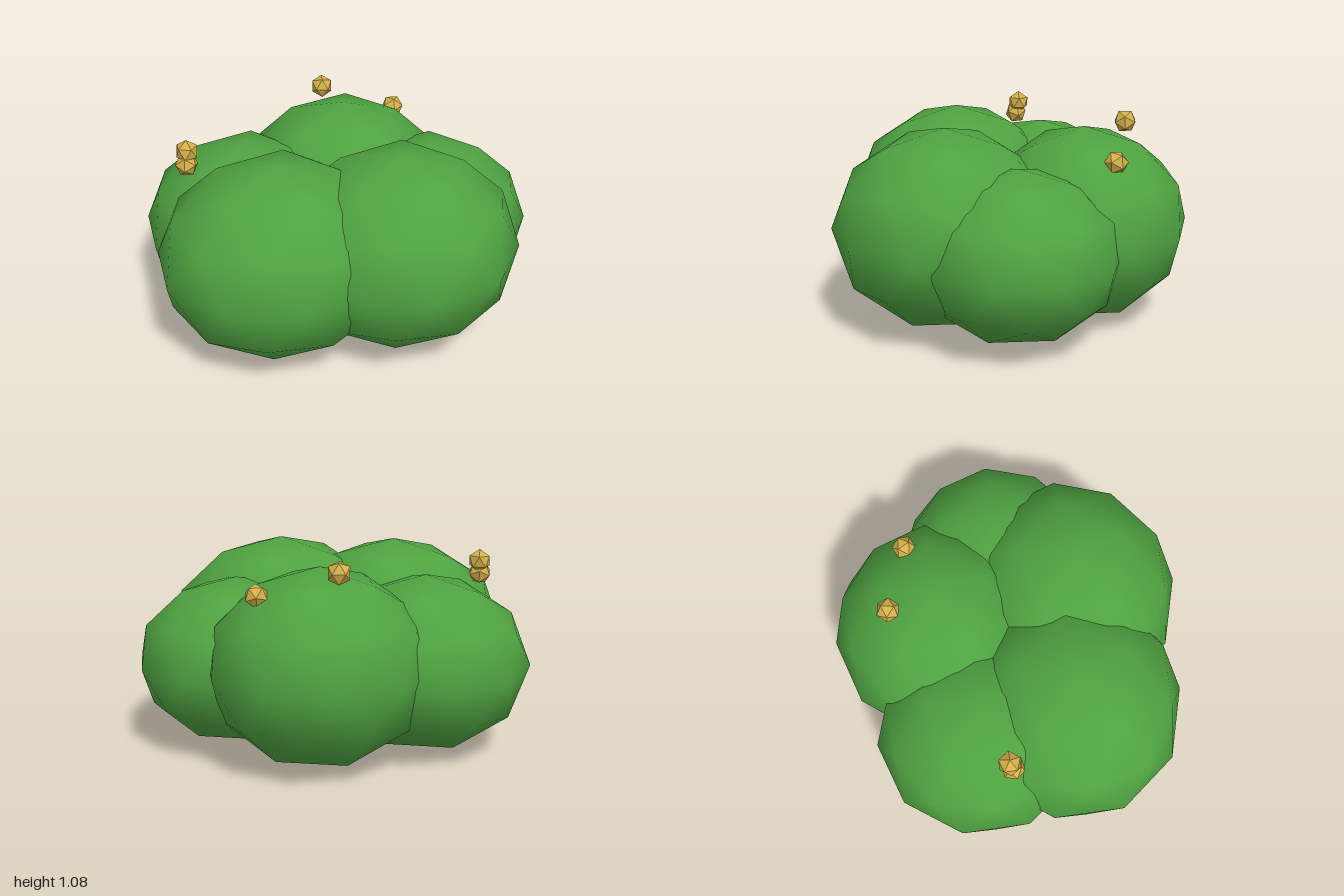
import * as THREE from 'three';

export function createModel() {
  const group = new THREE.Group();
  group.name = 'berryBush';

  const leafGreen = new THREE.MeshStandardMaterial({ name: 'leafGreen', color: 0x4fa341 });
  const berryGold = new THREE.MeshStandardMaterial({ name: 'berryGold', color: 0xd4b04a });

  // Icosphere standing on a vertex, with one upper-ring vertex towards +x
  const poleUp = (radius, detail) =>
    new THREE.IcosahedronGeometry(radius, detail)
      .rotateX(-Math.atan2((1 + Math.sqrt(5)) / 2, 1))
      .rotateY(Math.PI / 2);

  // Leafy clumps: smooth, slightly flattened
  const clumpGeometry = poleUp(1, 1);
  const clumps = [
    ['frontLeftClump', [0.21, 0.533, 0.345], [0.622, 0.517, 0.588]],
    ['frontRightClump', [-0.408, 0.523, 0.266], [0.621, 0.513, 0.585]],
    ['backLeftClump', [0.104, 0.512, -0.382], [0.583, 0.51, 0.553]],
    ['backRightClump', [-0.478, 0.467, -0.215], [0.549, 0.461, 0.56]],
    ['leftClump', [0.489, 0.467, -0.005], [0.53, 0.438, 0.53]],
  ];
  for (const [name, position, scale] of clumps) {
    const clump = new THREE.Mesh(clumpGeometry, leafGreen);
    clump.name = name;
    clump.position.set(...position);
    clump.scale.set(...scale);
    group.add(clump);
  }

  // Faceted berries resting on the clumps
  const berryGeometry = poleUp(0.062, 0);
  const berries = [
    [-0.79, 0.972, -0.115],
    [-0.798, 0.905, -0.1],
    [0.046, 1.032, -0.605],
    [0.43, 0.91, -0.495],
  ];
  berries.forEach((position, i) => {
    const berry = new THREE.Mesh(berryGeometry, berryGold);
    berry.name = `berry${i + 1}`;
    berry.position.set(...position);
    berry.rotation.set(0.5 * (i % 2), 0.7 * i, 0.3 * (i % 3));
    group.add(berry);
  });

  return group;
}
